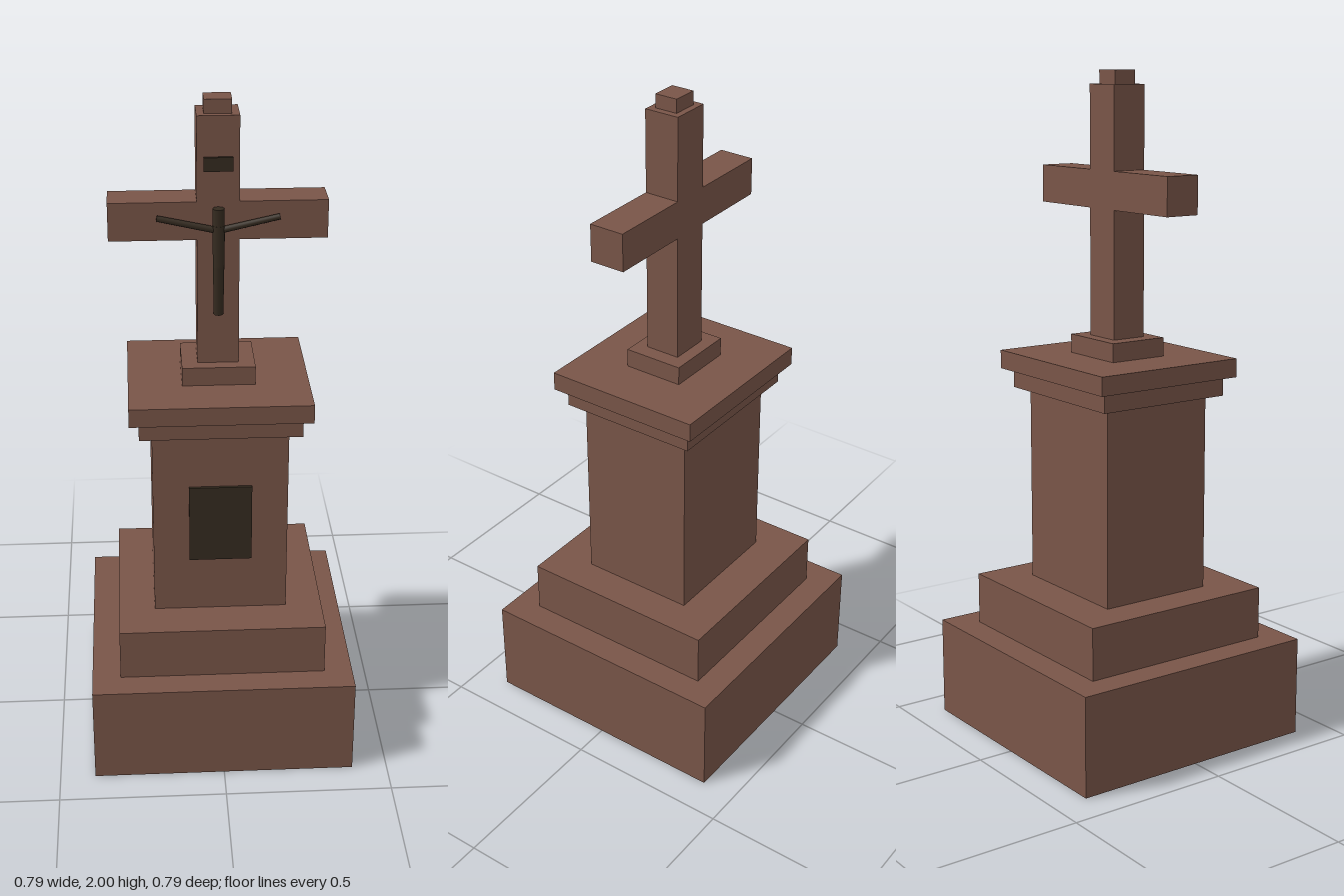
import * as THREE from 'three';

export function createModel() {
  const model = new THREE.Group();
  const stone = new THREE.MeshStandardMaterial({ color: 0x795548 });
  stone.name = 'brown stone';
  const bronze = new THREE.MeshStandardMaterial({ color: 0x352b20 });
  bronze.name = 'dark bronze';

  const add = (name, geometry, material, parent = model) => {
    const mesh = new THREE.Mesh(geometry, material);
    mesh.name = name;
    parent.add(mesh);
    return mesh;
  };
  // Block centred on x, given by its half width, height range and depth range
  const block = (name, hx, y0, y1, z0, z1, material = stone) =>
    add(name, new THREE.BoxGeometry(hx * 2, y1 - y0, z1 - z0), material)
      .position.set(0, (y0 + y1) / 2, (z0 + z1) / 2);

  // Stepped pedestal
  [
    ['base', 0.394, 0, 0.302, 0.394],
    ['step', 0.309, 0.302, 0.46, 0.309],
    ['pedestal', 0.2, 0.46, 1.055, 0.179],
    ['lowerCornice', 0.237, 1.055, 1.112, 0.215],
    ['upperCornice', 0.265, 1.112, 1.168, 0.243],
    ['crossFoot', 0.107, 1.168, 1.224, 0.092],
    ['crossPost', 0.06, 1.224, 1.96, 0.054],
    ['crossTop', 0.039, 1.96, 2, 0.035],
  ].forEach(([name, hx, y0, y1, hz]) => block(name, hx, y0, y1, -hz, hz));

  // Arms of the cross, on either side of the post
  for (const side of [-1, 1]) {
    add(side > 0 ? 'leftCrossArm' : 'rightCrossArm', new THREE.BoxGeometry(0.25, 0.112, 0.108), stone)
      .position.set(side * 0.185, 1.659, 0);
  }

  // Bronze plates
  block('plaque', 0.093, 0.635, 0.88, 0.179, 0.188, bronze);
  block('smallPlate', 0.041, 1.804, 1.844, 0.054, 0.063, bronze);

  // Hanging figure
  const figure = new THREE.Group();
  figure.name = 'figure';
  model.add(figure);
  const limb = (name, from, to, r0, r1) => {
    const a = new THREE.Vector3(...from), b = new THREE.Vector3(...to);
    const dir = b.clone().sub(a);
    const mesh = add(name, new THREE.CylinderGeometry(r1, r0, dir.length(), 8), bronze, figure);
    mesh.position.copy(a).add(b).multiplyScalar(0.5);
    mesh.quaternion.setFromUnitVectors(new THREE.Vector3(0, 1, 0), dir.normalize());
  };
  limb('head', [0, 1.645, 0.07], [0, 1.7, 0.07], 0.017, 0.017);
  limb('torso', [0, 1.53, 0.076], [0, 1.65, 0.07], 0.016, 0.018);
  limb('legs', [0, 1.383, 0.068], [0, 1.535, 0.076], 0.014, 0.016);
  for (const side of [-1, 1]) {
    limb(side > 0 ? 'leftArm' : 'rightArm', [0, 1.635, 0.069], [side * 0.173, 1.672, 0.064], 0.01, 0.009);
  }
  return model;
}
